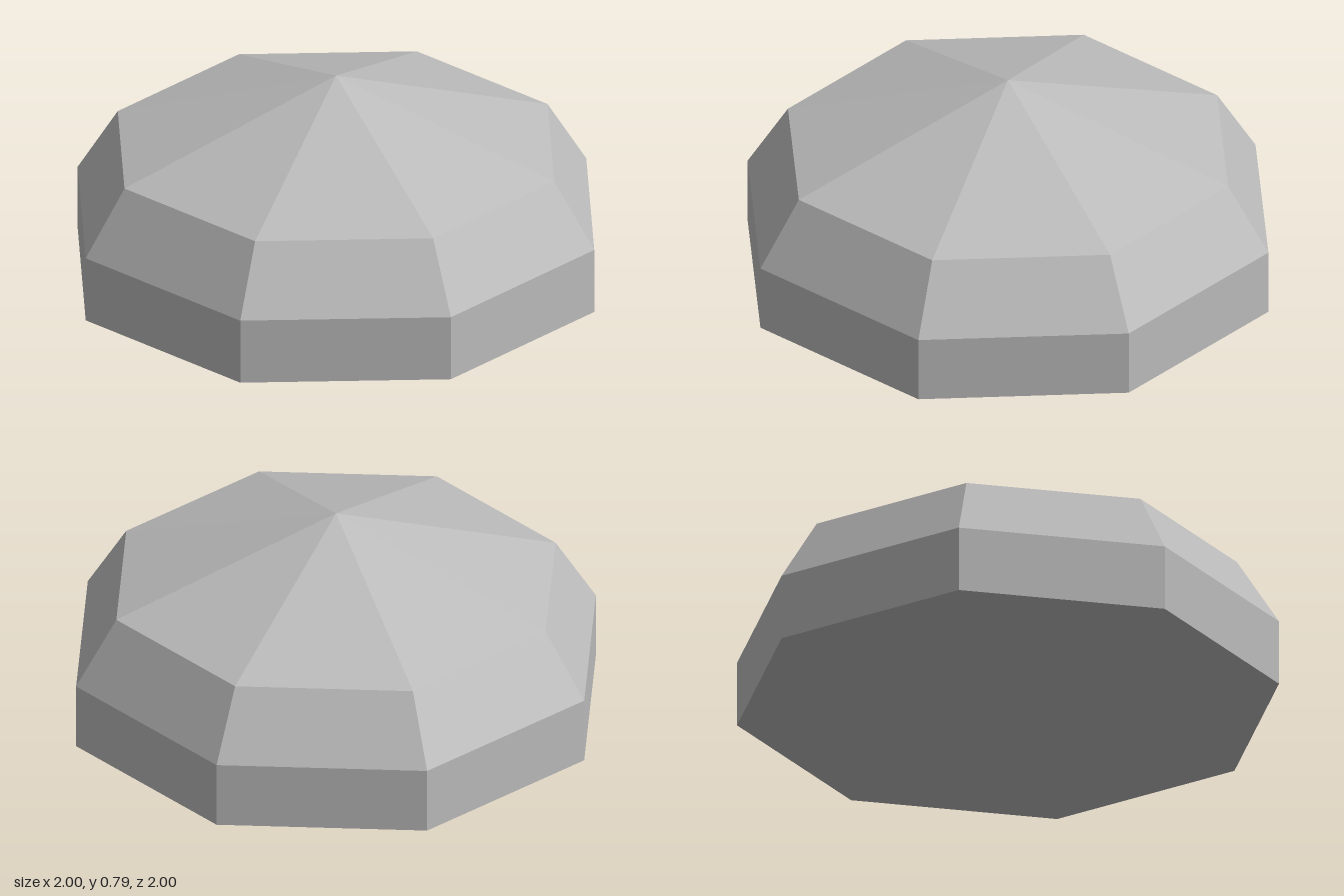
import * as THREE from 'three';

const SIDES = 8;

export function createModel() {
  const group = new THREE.Group();
  const gray = new THREE.MeshStandardMaterial({ color: 0xbbbbbb });
  gray.name = 'stone gray';

  const add = (name, geometry) => {
    const flat = geometry.toNonIndexed();
    flat.computeVertexNormals(); // one normal per facet
    const mesh = new THREE.Mesh(flat, gray);
    mesh.name = name;
    group.add(mesh);
  };

  // Stacked eight-sided bands: name, lower radius, upper radius, lower y, upper y
  const bands = [
    ['baseWall', 1, 1, 0, 0.25],
    ['slopedShoulder', 1, 0.845, 0.25, 0.5],
    ['roofCone', 0.845, 0, 0.5, 0.785],
  ];
  for (const [name, r0, r1, y0, y1] of bands) {
    add(name, new THREE.CylinderGeometry(r1, r0, y1 - y0, SIDES, 1, true)
      .translate(0, (y0 + y1) / 2, 0));
  }

  // Closed underside
  add('underside', new THREE.CircleGeometry(1, SIDES).rotateX(Math.PI / 2));

  return group;
}
